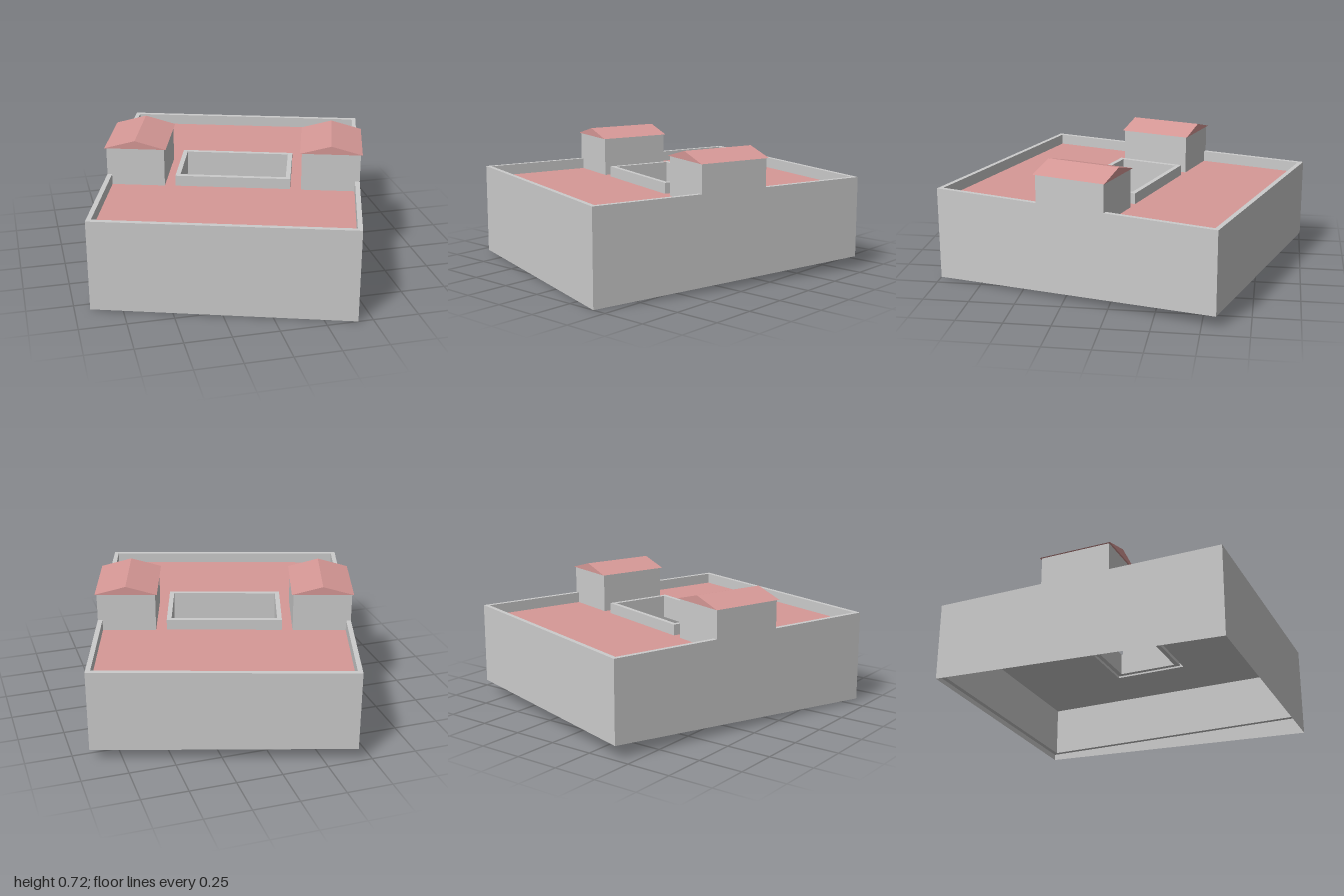
import * as THREE from 'three';

const grey = new THREE.MeshStandardMaterial({ color: 0xcccccc, flatShading: true });
const greyThin = new THREE.MeshStandardMaterial({ color: 0xcccccc, flatShading: true, side: THREE.DoubleSide });
const red = new THREE.MeshStandardMaterial({ color: 0xd69896, flatShading: true });

const HX = 0.702, HZ = 0.826;      // half size of the footprint
const T = 0.026;                   // wall thickness
const TOP = 0.52, DECK = 0.46, CEILING = 0.39, LEDGE = 0.1;
const CX = 0.32, CZ = 0.197;       // half size of the courtyard kerb

function rect(Kind, hx, hz) {
  return new Kind([[-hx, -hz], [hx, -hz], [hx, hz], [-hx, hz]].map(p => new THREE.Vector2(...p)));
}

// Rectangular slab or wall ring with a centred opening, from y0 up to y1
function ring(name, hx, hz, ix, iz, y0, y1, material) {
  const shape = rect(THREE.Shape, hx, hz);
  shape.holes.push(rect(THREE.Path, ix, iz));
  const geo = new THREE.ExtrudeGeometry(shape, { depth: y1 - y0, bevelEnabled: false });
  geo.rotateX(-Math.PI / 2).translate(0, y0, 0);
  const mesh = new THREE.Mesh(geo, material);
  mesh.name = name;
  return mesh;
}

// Thin skirt under the walls, cut along the sloping ground
function skirt() {
  const ground = (x, z) => 0.0375 - 0.005 * x / HX - 0.0325 * z / HZ;
  const corners = [[-HX, HZ], [HX, HZ], [HX, -HZ], [-HX, -HZ]];
  const pos = [];
  corners.forEach(([x0, z0], i) => {
    const [x1, z1] = corners[(i + 1) % 4];
    const a = [x0, ground(x0, z0), z0], b = [x1, ground(x1, z1), z1];
    const c = [x1, LEDGE, z1], d = [x0, LEDGE, z0];
    pos.push(...a, ...b, ...c, ...a, ...c, ...d);
  });
  const geo = new THREE.BufferGeometry();
  geo.setAttribute('position', new THREE.Float32BufferAttribute(pos, 3));
  geo.computeVertexNormals();
  const mesh = new THREE.Mesh(geo, greyThin);
  mesh.name = 'groundSkirt';
  return mesh;
}

// Small roof house with a shallow gable, flush with the side wall
function roofHouse(name, side) {
  const house = new THREE.Group();
  house.name = name;
  const y0 = 0.42, eave = 0.677, ridge = 0.724;

  const walls = new THREE.Mesh(new THREE.BoxGeometry(0.322, eave - y0, 0.4), grey);
  walls.name = 'houseWalls';
  walls.position.set(0, (y0 + eave) / 2, 0);

  const gable = new THREE.Shape();
  gable.moveTo(-0.171, eave);
  gable.lineTo(0.171, eave);
  gable.lineTo(0, ridge);
  gable.closePath();
  const geo = new THREE.ExtrudeGeometry(gable, { depth: 0.418, bevelEnabled: false });
  geo.translate(0, 0, -0.209);
  const roof = new THREE.Mesh(geo, red);
  roof.name = 'gableRoof';

  house.add(walls, roof);
  house.position.x = side * (HX - 0.161);
  return house;
}

export function createModel() {
  const model = new THREE.Group();
  model.name = 'courtyardBuilding';

  const building = new THREE.Group();
  building.name = 'building';
  building.rotation.y = -0.308;
  building.add(
    ring('outerWalls', HX, HZ, HX - T, HZ - T, LEDGE, TOP, grey),
    skirt(),
    // the slab opening is a little wider than the kerb
    ring('ceilingSlab', HX - T, HZ - T, CX + 0.022, CZ + 0.015, CEILING, 0.43, grey),
    ring('roofDeck', HX - T, HZ - T, CX, CZ, 0.43, DECK, red),
    ring('courtyardKerb', CX, CZ, CX - T, CZ - T, CEILING, TOP, grey),
    roofHouse('leftRoofHouse', 1),
    roofHouse('rightRoofHouse', -1)
  );
  model.add(building);
  return model;
}
